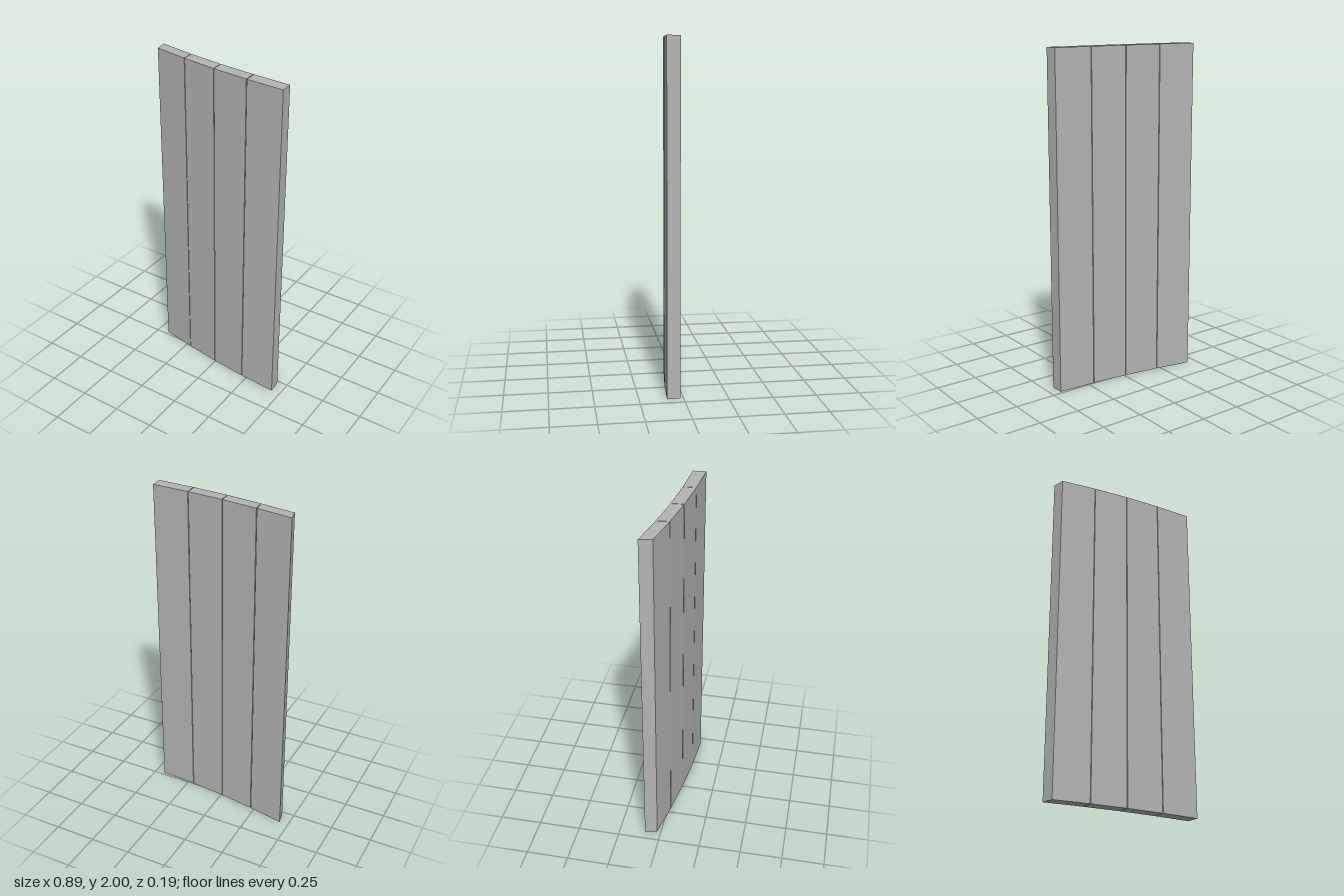
import * as THREE from 'three';

export function createModel() {
  const model = new THREE.Group();
  model.name = 'curvedPanel';
  const grey = new THREE.MeshStandardMaterial({ color: 0xb4b4b4 });
  grey.name = 'plain grey';

  // Joint lines of the shallow curve, seen from above as [x, z]
  const back = [[-0.445, -0.096], [-0.227, -0.054], [-0.009, -0.021], [0.212, 0.003], [0.44, 0.018]];
  const front = [[-0.43, -0.023], [-0.219, 0.019], [-0.004, 0.053], [0.216, 0.078], [0.444, 0.094]];
  const gap = 0.004;

  // Moves a joint point towards the other end of its slab to leave a narrow gap
  const inset = (from, to, amount) => {
    const a = new THREE.Vector2(...from);
    const direction = new THREE.Vector2(...to).sub(a).normalize();
    return a.addScaledVector(direction, amount);
  };

  // Four upright slabs following the curve
  for (let i = 0; i < 4; i++) {
    const start = i > 0 ? gap / 2 : 0;
    const end = i < 3 ? gap / 2 : 0;
    const outline = [
      inset(front[i], front[i + 1], start),
      inset(front[i + 1], front[i], end),
      inset(back[i + 1], back[i], end),
      inset(back[i], back[i + 1], start),
    ].map((p) => new THREE.Vector2(p.x, -p.y));
    const geometry = new THREE.ExtrudeGeometry(new THREE.Shape(outline), { depth: 2, bevelEnabled: false });
    geometry.rotateX(-Math.PI / 2);
    const slab = new THREE.Mesh(geometry, grey);
    slab.name = `slab${i + 1}`;
    model.add(slab);
  }
  return model;
}
